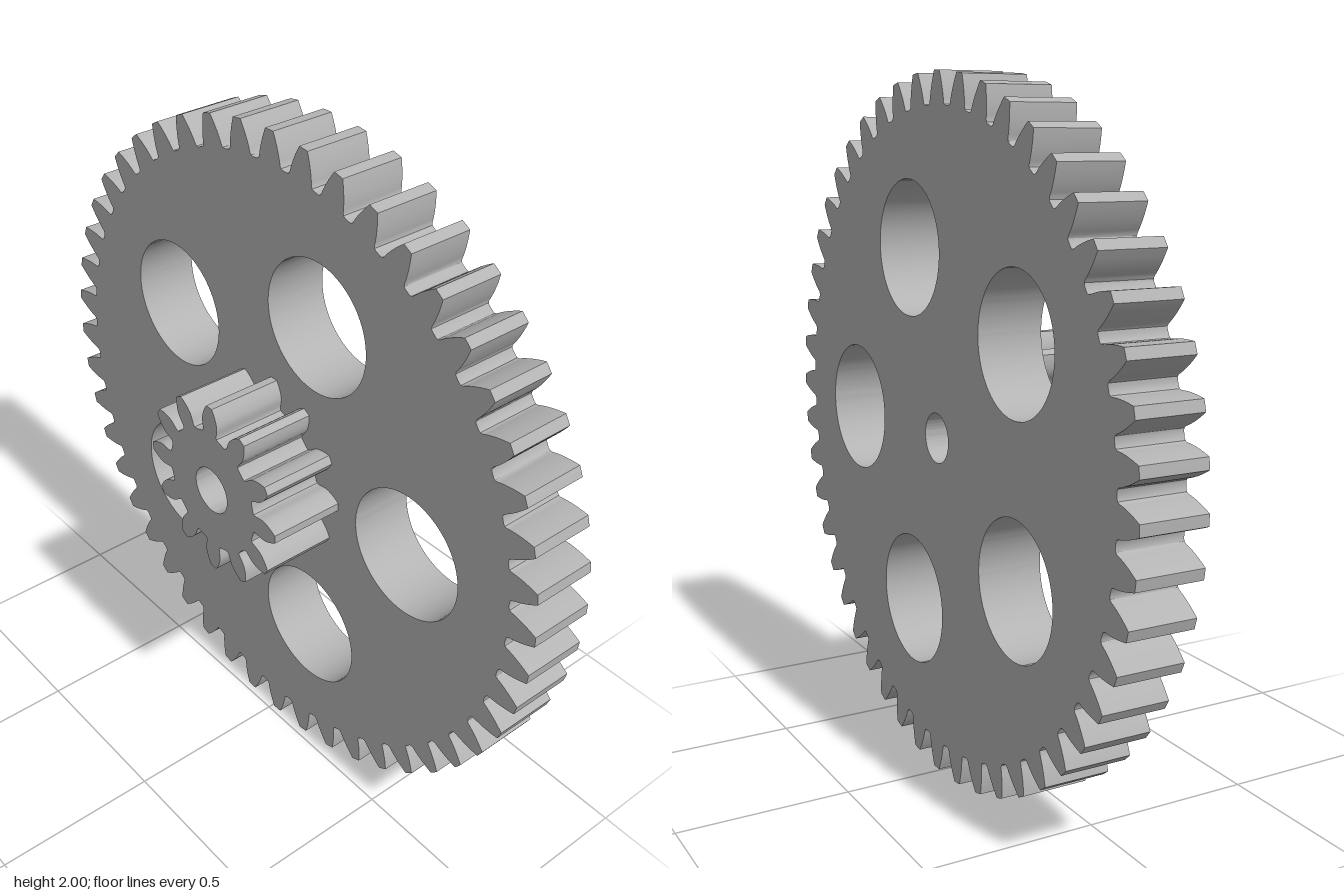
import * as THREE from 'three';
import { toCreasedNormals } from 'three/addons/utils/BufferGeometryUtils.js';

const MODULE = 0.04; // tooth size shared by both gears
const PRESSURE = THREE.MathUtils.degToRad(20);
const inv = (a) => Math.tan(a) - a;

// Involute spur gear outline with one tooth centred on the phase angle
function gearShape(teeth, phase) {
  const pitch = (MODULE * teeth) / 2;
  const tip = pitch + MODULE;
  const root = pitch - 1.25 * MODULE;
  const base = pitch * Math.cos(PRESSURE);
  const halfAngle = (r) =>
    Math.PI / (2 * teeth) + inv(PRESSURE) - inv(Math.acos(Math.min(1, base / r)));

  // One flank from root to tip as [radius, half angle]
  const fillet = 0.2 * MODULE;
  const start = root + fillet;
  const flank = [[root, halfAngle(root) + fillet / root], [root + fillet * 0.3, halfAngle(root) + (fillet * 0.3) / root]];
  const steps = 8;
  for (let i = 0; i <= steps; i++) {
    const r = start + ((tip - start) * i) / steps;
    flank.push([r, halfAngle(r)]);
  }

  const points = [];
  const add = (r, a) => points.push(new THREE.Vector2(r * Math.cos(a), r * Math.sin(a)));
  for (let t = 0; t < teeth; t++) {
    const mid = phase + (t * 2 * Math.PI) / teeth;
    flank.forEach(([r, h]) => add(r, mid - h));
    add(tip, mid);
    [...flank].reverse().forEach(([r, h]) => add(r, mid + h));
  }
  return new THREE.Shape(points);
}

function addHole(shape, x, y, radius) {
  const hole = new THREE.Path();
  hole.absarc(x, y, radius, 0, Math.PI * 2, true);
  shape.holes.push(hole);
}

function gearMesh(name, shape, back, front, material) {
  const geometry = new THREE.ExtrudeGeometry(shape, {
    depth: front - back, bevelEnabled: false, curveSegments: 64,
  });
  const mesh = new THREE.Mesh(toCreasedNormals(geometry, 0.5), material);
  mesh.name = name;
  mesh.position.set(0, 1, back);
  return mesh;
}

export function createModel() {
  const group = new THREE.Group();
  group.name = 'compoundGear';
  const grey = new THREE.MeshStandardMaterial({ color: 0xb3b3b3 });
  grey.name = 'grey';

  const bore = 0.071;
  const split = -0.017;

  // Large wheel with five lightening holes
  const wheel = gearShape(48, THREE.MathUtils.degToRad(1.2));
  addHole(wheel, 0, 0, bore);
  for (let i = 0; i < 5; i++) {
    const a = (i * 2 * Math.PI) / 5;
    addHole(wheel, 0.545 * Math.cos(a), 0.545 * Math.sin(a), 0.193);
  }
  group.add(gearMesh('largeGear', wheel, -0.208, split, grey));

  // Small pinion on the front
  const pinion = gearShape(12, 0);
  addHole(pinion, 0, 0, bore);
  group.add(gearMesh('pinionGear', pinion, split, 0.208, grey));

  return group;
}
